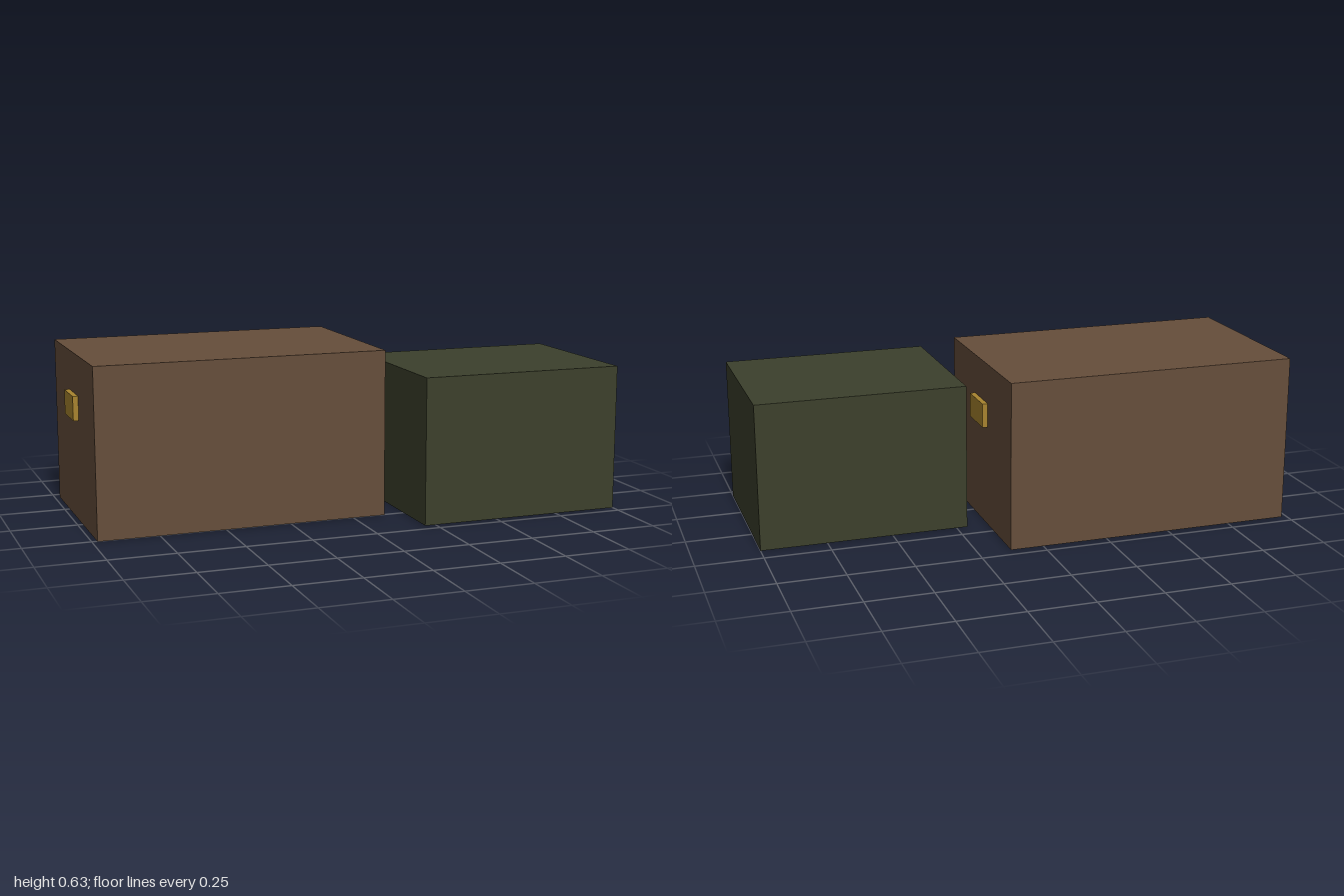
import * as THREE from 'three';

export function createModel() {
  const model = new THREE.Group();
  model.name = 'storageBoxes';

  const paint = (name, color) => {
    const material = new THREE.MeshStandardMaterial({ color });
    material.name = name;
    return material;
  };
  const brown = paint('brown', 0x664e3b);
  const green = paint('darkGreen', 0x3c402c);
  const brass = paint('brass', 0xa8842f);

  // Box placed by its minimum and maximum corners
  const addBox = (name, min, max, material) => {
    const size = max.map((v, i) => v - min[i]);
    const mesh = new THREE.Mesh(new THREE.BoxGeometry(...size), material);
    mesh.position.set(...max.map((v, i) => (v + min[i]) / 2));
    mesh.name = name;
    model.add(mesh);
  };

  // Large trunk and the smaller crate beside it
  addBox('trunk', [-0.98, 0, -0.457], [0.126, 0.634, 0.256], brown);
  addBox('crate', [0.208, 0, -0.177], [1, 0.556, 0.457], green);

  // Handles on both ends of the trunk
  addBox('rightHandle', [-1, 0.39, -0.18], [-0.975, 0.482, -0.021], brass);
  addBox('leftHandle', [0.121, 0.39, -0.18], [0.146, 0.482, -0.021], brass);

  return model;
}
